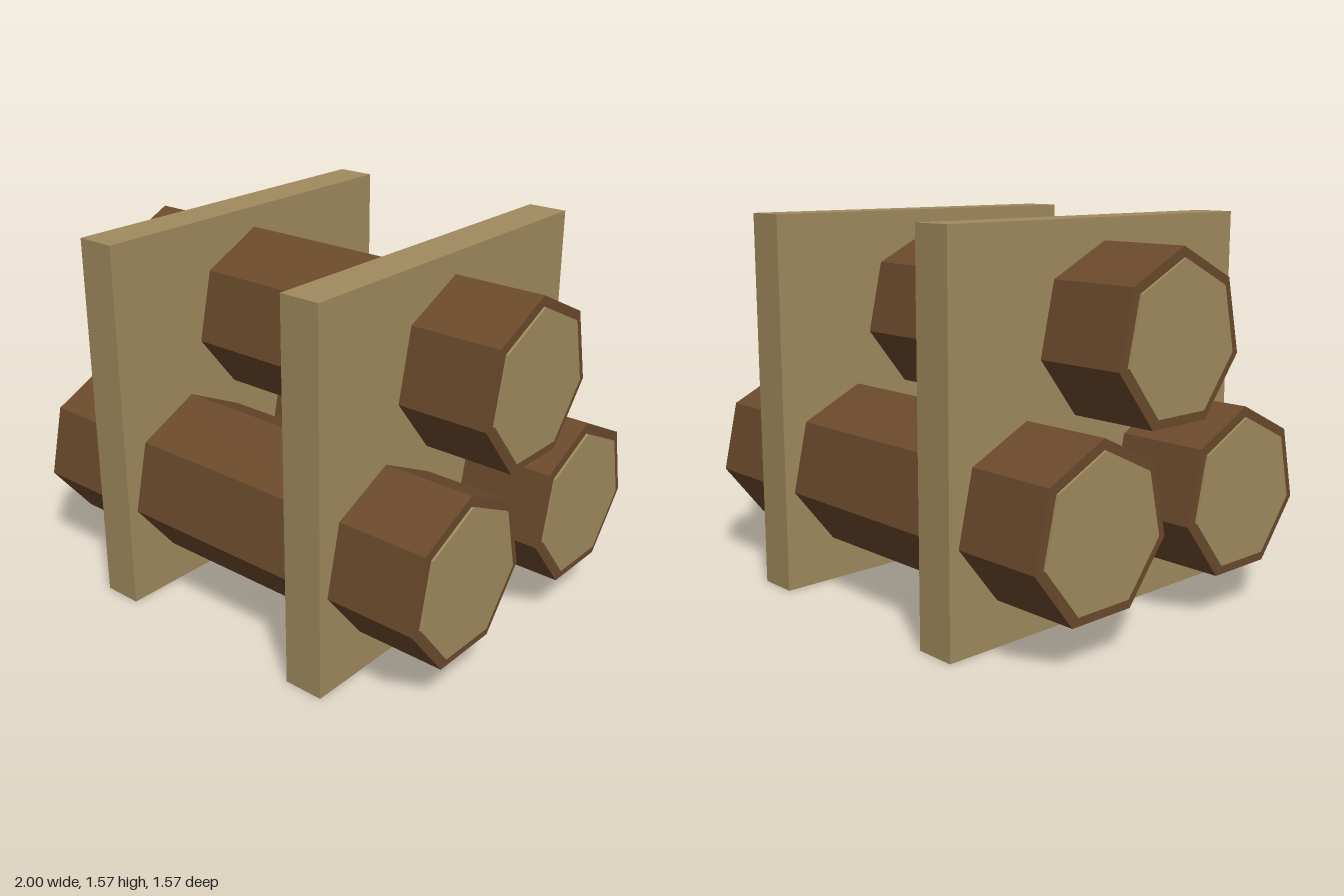
import * as THREE from 'three';

const bark = new THREE.MeshStandardMaterial({ name: 'brown bark', color: 0x6b4a2c, flatShading: true });
const paleWood = new THREE.MeshStandardMaterial({ name: 'pale wood', color: 0xa18a5e, flatShading: true });

// Seven-sided prism along x with one corner pointing up
function heptagonPrism(radius, length) {
  return new THREE.CylinderGeometry(radius, radius, length, 7)
    .rotateZ(-Math.PI / 2)
    .rotateX(-Math.PI / 2);
}

export function createModel() {
  const group = new THREE.Group();
  group.name = 'logRack';

  const add = (parent, name, geometry, material, x, y, z) => {
    const mesh = new THREE.Mesh(geometry, material);
    mesh.name = name;
    mesh.position.set(x, y, z);
    parent.add(mesh);
  };

  // Two square boards that hold the logs
  const boardGeometry = new THREE.BoxGeometry(0.17, 1.57, 1.57);
  for (const [name, side] of [['leftBoard', 1], ['rightBoard', -1]]) {
    add(group, name, boardGeometry, paleWood, side * 0.52, 0.785, 0);
  }

  // Three logs, each with a slightly raised pale cut face at both ends
  const logGeometry = heptagonPrism(0.345, 1.98);
  const cutGeometry = heptagonPrism(0.302, 0.014);
  const logs = [['topLog', 1.137, 0], ['frontLog', 0.496, 0.405], ['backLog', 0.496, -0.405]];
  for (const [name, y, z] of logs) {
    const log = new THREE.Group();
    log.name = name;
    log.position.set(0, y, z);
    add(log, 'bark', logGeometry, bark, 0, 0, 0);
    add(log, 'leftCutFace', cutGeometry, paleWood, 0.993, 0, 0);
    add(log, 'rightCutFace', cutGeometry, paleWood, -0.993, 0, 0);
    group.add(log);
  }

  return group;
}
